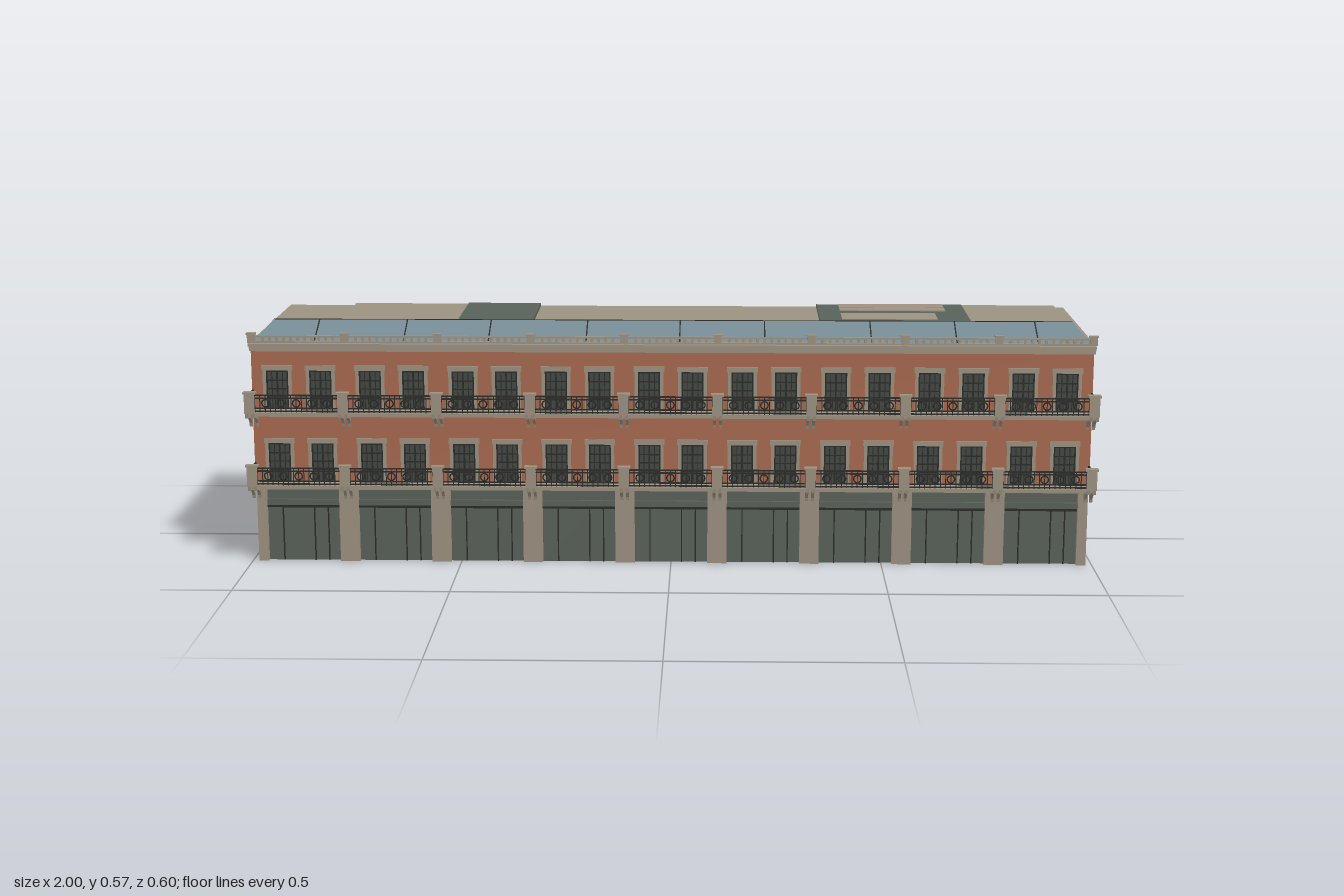
import * as THREE from 'three';
import { mergeGeometries } from 'three/addons/utils/BufferGeometryUtils.js';

const paint = (name, color) => {
  const m = new THREE.MeshStandardMaterial({ color });
  m.name = name;
  return m;
};

// Box from its extents
const box = (x0, x1, y0, y1, z0, z1) =>
  new THREE.BoxGeometry(x1 - x0, y1 - y0, z1 - z0)
    .translate((x0 + x1) / 2, (y0 + y1) / 2, (z0 + z1) / 2);

export function createModel() {
  const stone = paint('stone', 0x9d9281);
  const brick = paint('brick', 0xa86a4f);
  const slate = paint('blue slate', 0x758a94);
  slate.side = THREE.DoubleSide;
  const shop = paint('dark green panel', 0x59625a);
  const glass = paint('window glass', 0x434843);
  const iron = paint('black iron', 0x2b2b29);

  const model = new THREE.Group();
  model.name = 'terraceBuilding';
  const add = (name, material, geometries) => {
    const mesh = new THREE.Mesh(mergeGeometries(geometries.map(g => g.toNonIndexed())), material);
    mesh.name = name;
    model.add(mesh);
  };

  const W = 0.985, BACK = -0.3, FRONT = 0.245;
  const BAYS = 9, PITCH = 2 * W / BAYS;
  const edges = Array.from({ length: BAYS + 1 }, (_, i) => -W + i * PITCH);
  const centres = Array.from({ length: BAYS }, (_, i) => -W + (i + 0.5) * PITCH);
  const floors = [0.195, 0.37];

  // Main body, with the ground floor set back behind the piers
  add('body', stone, [
    box(-W, W, 0, 0.19, BACK, 0.23),
    box(-W, W, 0.19, 0.528, BACK, FRONT - 0.003),
  ]);

  // Brick faces on the front and both ends
  const brickwork = [box(-W, W, 0.19, 0.515, FRONT - 0.003, FRONT)];
  for (const s of [-1, 1]) {
    const a = Math.min(s * W, s * (W + 0.002)), b = a + 0.002;
    brickwork.push(box(a, b, 0.025, 0.186, -0.287, 0.23));
    brickwork.push(box(a, b, 0.196, 0.36, -0.287, FRONT));
    brickwork.push(box(a, b, 0.37, 0.515, -0.287, FRONT));
  }
  add('brickwork', brick, brickwork);

  // Floor bands and stepped front cornice
  const B = W + 0.005;
  add('floorBands', stone, [
    box(-B, B, 0.186, 0.197, BACK, 0.247),
    box(-B, B, 0.36, 0.371, BACK, 0.247),
    box(-B, B, 0.515, 0.53, BACK, 0.247),
  ]);
  add('cornice', stone, [
    box(-B, B, 0.51, 0.518, 0.24, 0.25),
    box(-B, B, 0.518, 0.524, 0.24, 0.256),
    box(-B, B, 0.524, 0.53, 0.238, 0.262),
  ]);

  // Ground floor piers
  add('piers', stone, edges.map(x => box(
    Math.max(x - 0.023, -W), Math.min(x + 0.023, W), 0, 0.187, 0.228, 0.247)));

  // Shopfronts between the piers
  const panels = [], shopBars = [];
  for (const c of centres) {
    const h = PITCH / 2 - 0.023;
    panels.push(box(c - h, c + h, 0, 0.187, 0.23, 0.234));
    panels.push(box(c - h, c + h, 0.136, 0.15, 0.23, 0.24));
    shopBars.push(box(c - h, c + h, 0.13, 0.136, 0.23, 0.239));
    for (const dx of [-0.05, 0.025, 0.058])
      shopBars.push(box(c + dx - 0.0015, c + dx + 0.0015, 0, 0.132, 0.23, 0.237));
  }
  add('shopfronts', shop, panels);
  add('shopfrontBars', iron, shopBars);

  // Two tall windows per bay on each upper floor
  const surrounds = [], panes = [], glazing = [];
  for (const y of floors) for (const c of centres) for (const dx of [-0.051, 0.051]) {
    const x = c + dx, top = y + 0.1;
    for (const s of [-1, 1])
      surrounds.push(box(x + s * 0.03 - 0.004, x + s * 0.03 + 0.004, y, top, FRONT, 0.249));
    surrounds.push(box(x - 0.036, x + 0.036, top - 0.006, top + 0.006, FRONT, 0.25));
    panes.push(box(x - 0.026, x + 0.026, y, top - 0.006, FRONT, 0.2462));
    for (const bx of [-0.0245, 0, 0.0245])
      glazing.push(box(x + bx - 0.002, x + bx + 0.002, y, top - 0.006, FRONT, 0.2478));
    for (const bx of [-0.0125, 0.0125])
      glazing.push(box(x + bx - 0.001, x + bx + 0.001, y, top - 0.006, FRONT, 0.2474));
    for (const by of [0.03, 0.05, 0.07, 0.092])
      glazing.push(box(x - 0.026, x + 0.026, y + by - 0.0015, y + by + 0.0015, FRONT, 0.2474));
  }
  add('windowSurrounds', stone, surrounds);
  add('windowPanes', glass, panes);
  add('windowGlazingBars', iron, glazing);

  // Curved bracket profile, drawn in z and y then turned to face the side
  const profile = new THREE.Shape();
  profile.moveTo(0.243, 0);
  profile.lineTo(0.298, 0);
  profile.lineTo(0.296, -0.011);
  profile.quadraticCurveTo(0.25, -0.014, 0.247, -0.041);
  profile.lineTo(0.243, -0.041);
  const bracket = (x, y) => new THREE.ExtrudeGeometry(profile, { depth: 0.007, bevelEnabled: false, curveSegments: 6 })
    .rotateY(-Math.PI / 2).translate(x + 0.0035, y, 0);

  // Balconies: slab, paired brackets, posts and iron railings
  const slabs = [], brackets = [], posts = [], rails = [];
  for (const y of floors) {
    slabs.push(box(-0.99, 0.99, y - 0.008, y, FRONT, 0.292));
    slabs.push(box(-0.993, 0.993, y - 0.003, y + 0.002, FRONT, 0.296));
    for (const x of edges) {
      for (const s of [-1, 1]) brackets.push(bracket(x + s * 0.007, y));
      posts.push(box(x - 0.012, x + 0.012, y, y + 0.047, 0.285, 0.298));
      posts.push(box(x - 0.015, x + 0.015, y + 0.046, y + 0.051, 0.282, 0.3));
    }
    for (const x of [-W, W])
      for (const ry of [0.006, 0.043]) rails.push(box(x - 0.002, x + 0.002, y + ry, y + ry + 0.004, FRONT, 0.29));
    for (const c of centres) {
      const h = PITCH / 2 - 0.012;
      for (const ry of [0.005, 0.012, 0.036, 0.043])
        rails.push(box(c - h, c + h, y + ry - 0.0015, y + ry + 0.0015, 0.289, 0.293));
      for (let i = 0; i <= 16; i++) {
        const x = c - h + 2 * h * i / 16;
        rails.push(box(x - 0.001, x + 0.001, y, y + 0.044, 0.29, 0.292));
      }
      for (const dx of [-0.072, -0.036, 0, 0.036, 0.072])
        rails.push(new THREE.TorusGeometry(0.009, 0.0017, 4, 10).translate(c + dx, y + 0.024, 0.291));
    }
  }
  add('balconySlabs', stone, slabs);
  add('balconyBrackets', stone, brackets);
  add('balconyPosts', stone, posts);
  add('balconyRailings', iron, rails);

  // Roof edge parapet with posts and small balusters
  const parapet = [box(-W, W, 0.53, 0.534, 0.239, 0.249), box(-W, W, 0.543, 0.547, 0.24, 0.248)];
  for (const x of edges) {
    parapet.push(box(x - 0.009, x + 0.009, 0.53, 0.55, 0.238, 0.25));
    parapet.push(box(x - 0.011, x + 0.011, 0.549, 0.553, 0.237, 0.251));
  }
  for (const c of centres) for (let i = -5; i <= 5; i++) {
    const x = c + i * 0.0165;
    parapet.push(box(x - 0.003, x + 0.003, 0.533, 0.544, 0.242, 0.246));
  }
  add('parapet', stone, parapet);

  // Hipped slate roof along the front
  const a = [-0.983, 0.53, 0.225], b = [0.983, 0.53, 0.225], c = [0.983, 0.53, 0.055];
  const d = [-0.983, 0.53, 0.055], e = [-0.95, 0.568, 0.14], f = [0.95, 0.568, 0.14];
  const roof = new THREE.BufferGeometry();
  roof.setAttribute('position', new THREE.Float32BufferAttribute(
    [a, b, f, a, f, e, c, d, e, c, e, f, b, c, f, d, a, e].flat(), 3));
  roof.computeVertexNormals();
  const roofMesh = new THREE.Mesh(roof, slate);
  roofMesh.name = 'slateRoof';
  model.add(roofMesh);

  // Fine seams down the front slope, and the ridge
  const seams = [box(-0.95, 0.95, 0.567, 0.569, 0.139, 0.141)];
  const slope = Math.atan2(0.038, 0.085);
  for (const x of [-0.84, -0.63, -0.43, -0.2, 0.02, 0.22, 0.47, 0.67, 0.86])
    seams.push(new THREE.BoxGeometry(0.003, 0.0015, 0.092).rotateX(slope).translate(x, 0.549, 0.1825));
  add('roofSeams', iron, seams);

  // Low platforms on the flat roof
  add('roofPlatforms', stone, [
    box(-0.82, -0.53, 0.53, 0.536, -0.293, -0.012),
    box(0.73, 0.965, 0.53, 0.536, -0.293, -0.025),
  ]);
  add('roofDarkPanels', shop, [
    box(-0.53, -0.345, 0.53, 0.538, -0.293, -0.005),
    box(0.36, 0.73, 0.53, 0.537, -0.293, -0.012),
  ]);
  add('roofSkylights', stone, [
    box(0.415, 0.68, 0.535, 0.539, -0.288, -0.237),
    box(0.415, 0.68, 0.535, 0.539, -0.232, -0.19),
    box(0.415, 0.65, 0.535, 0.539, -0.15, -0.062),
  ]);

  // Small windows and thin strips on the left-hand end as seen from the front
  const X = -W - 0.002, endFrames = [], endPanes = [], endBars = [];
  for (const [y, z] of [[0.45, -0.265], [0.46, 0], [0.46, 0.115], [0.28, -0.24], [0.28, -0.02], [0.285, 0.125]]) {
    endFrames.push(box(X - 0.003, X, y - 0.03, y + 0.03, z - 0.021, z + 0.021));
    endPanes.push(box(X - 0.004, X, y - 0.025, y + 0.025, z - 0.017, z + 0.017));
    endBars.push(box(X - 0.005, X, y - 0.025, y + 0.025, z - 0.0015, z + 0.0015));
    endBars.push(box(X - 0.005, X, y - 0.0015, y + 0.0015, z - 0.017, z + 0.017));
  }
  for (const z of [-0.17, 0.06]) endFrames.push(box(X - 0.002, X, 0.197, 0.36, z - 0.003, z + 0.003));
  add('endWindowFrames', stone, endFrames);
  add('endWindowPanes', glass, endPanes);
  add('endWindowBars', iron, endBars);

  return model;
}
